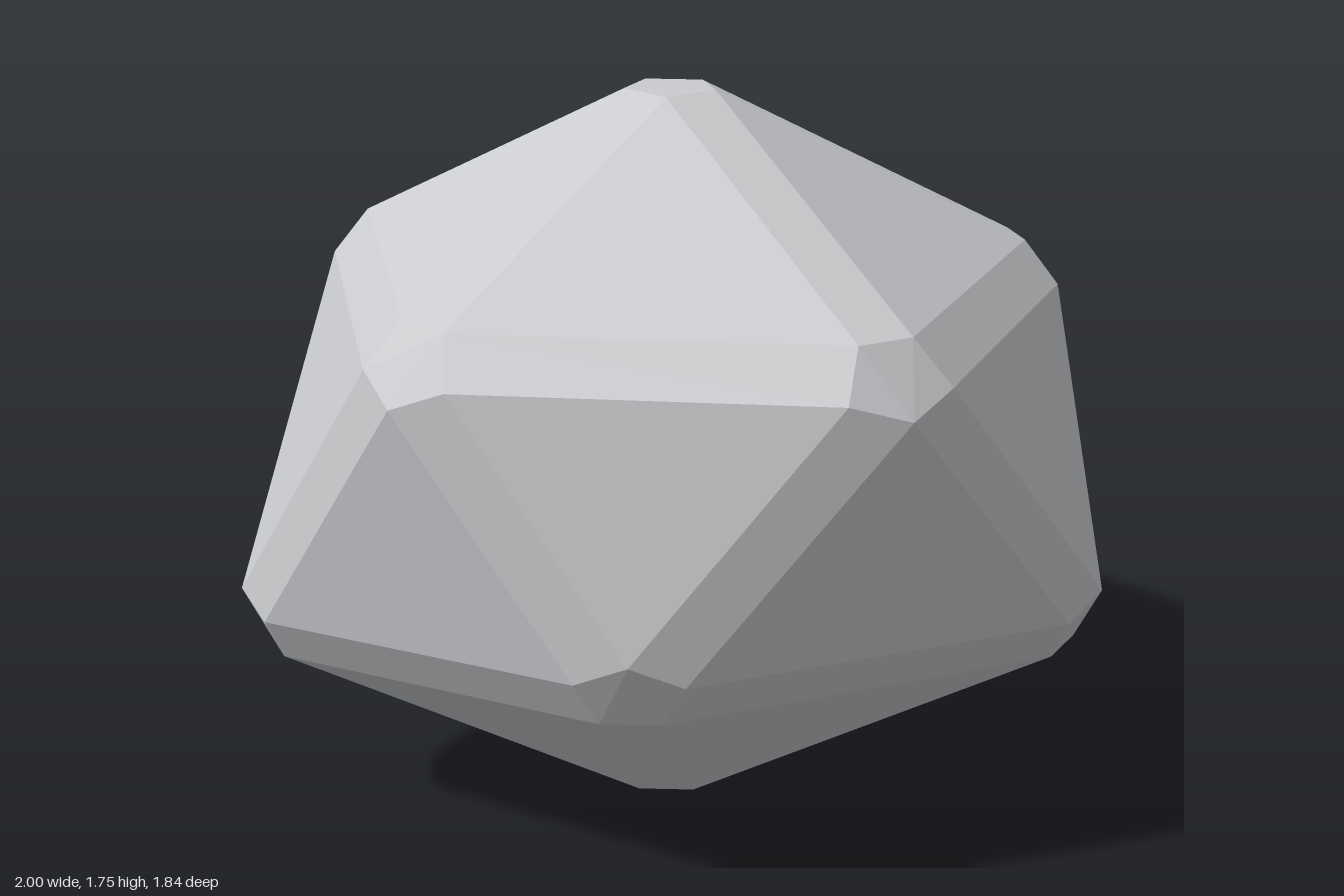
import * as THREE from 'three';
import { ConvexGeometry } from 'three/addons/geometries/ConvexGeometry.js';

// A slightly irregular icosahedral boulder with bevelled edges and corners.
export function createModel() {
  const group = new THREE.Group();
  group.name = 'boulder';
  const stone = new THREE.MeshStandardMaterial({ color: 0xc9cbce });
  stone.name = 'stone grey';

  const v = (x, y, z) => new THREE.Vector3(x, y, z);
  const top = v(0.03, 1.83, 0.03);
  const bottom = v(0.035, -0.075, 0.03);
  // rings of sharp corners, in order around the vertical axis
  const upper = [v(1.01, 1.335, 0.025), v(0.325, 1.335, 0.955), v(-0.7, 1.325, 0.57),
    v(-0.68, 1.37, -0.58), v(0.37, 1.335, -0.965)];
  const lower = [v(0.975, 0.535, 0.57), v(-0.25, 0.58, 0.835), v(-1.05, 0.495, 0.02),
    v(-0.27, 0.605, -0.76), v(0.945, 0.56, -0.485)];

  // Inset each triangular face; the hull of the insets forms the bevels.
  const bevel = 0.07;
  const points = [];
  const addFace = (...tri) => {
    for (let i = 0; i < 3; i++) {
      const a = tri[i];
      const e1 = tri[(i + 1) % 3].clone().sub(a).normalize();
      const e2 = tri[(i + 2) % 3].clone().sub(a).normalize();
      const s = bevel / Math.sin(e1.angleTo(e2));
      points.push(a.clone().addScaledVector(e1.add(e2), s));
    }
  };
  for (let i = 0; i < 5; i++) {
    const j = (i + 1) % 5;
    addFace(top, upper[i], upper[j]);
    addFace(upper[i], upper[j], lower[i]);
    addFace(lower[i], lower[j], upper[j]);
    addFace(bottom, lower[i], lower[j]);
  }

  const geometry = new ConvexGeometry(points);
  geometry.computeBoundingBox();
  geometry.translate(0, -geometry.boundingBox.min.y, 0);
  const rock = new THREE.Mesh(geometry, stone);
  rock.name = 'bevelledRock';
  group.add(rock);
  return group;
}
